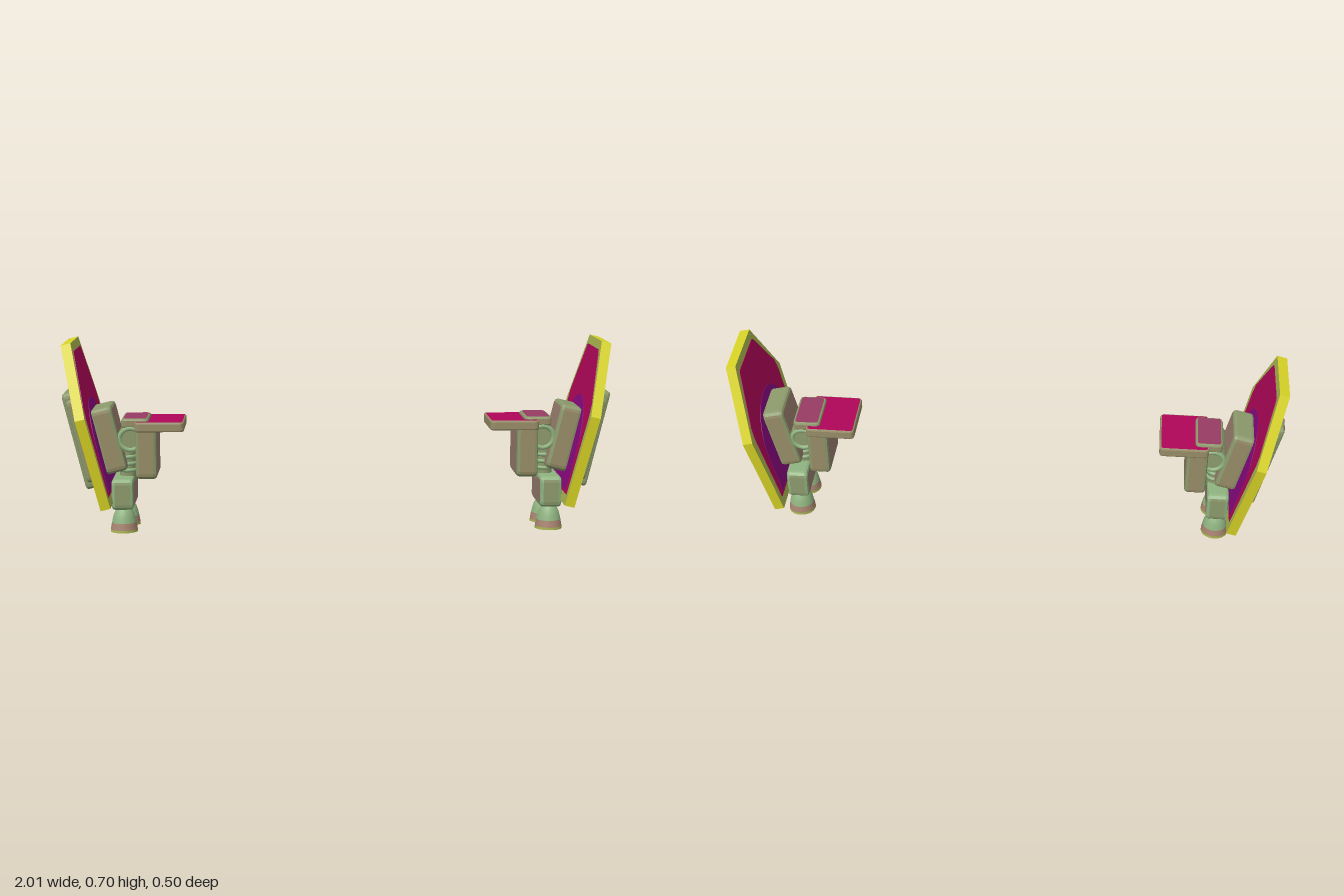
import * as THREE from 'three';

const mat = (name, color, side = THREE.FrontSide) => {
  const m = new THREE.MeshStandardMaterial({ color, side });
  m.name = name;
  return m;
};

export function createModel() {
  const yellow = mat('yellow edge', 0xd8d426);
  const olive = mat('olive rim', 0xaab650);
  const magenta = mat('magenta', 0xb00659);
  const mauve = mat('mauve', 0x963c62);
  const purple = mat('purple', 0x88087e);
  const taupe = mat('taupe', 0x9a7e6e);
  const drab = mat('drab side', 0x968c66);
  const sage = mat('sage edge', 0x8c9a6c);
  const green = mat('green', 0x8fb380, THREE.DoubleSide);
  const clay = mat('clay band', 0xa88470, THREE.DoubleSide);

  const add = (parent, name, geometry, material, x = 0, y = 0, z = 0) => {
    const mesh = new THREE.Mesh(geometry, material);
    mesh.name = name;
    mesh.position.set(x, y, z);
    parent.add(mesh);
    return mesh;
  };

  // Plate in the shield plane: points are [-z, height], thickness runs from x0 to x1
  const plate = (points, x0, x1) => {
    const shape = new THREE.Shape(points.map(([a, b]) => new THREE.Vector2(a, b)));
    return new THREE.ExtrudeGeometry(shape, { depth: x1 - x0, bevelEnabled: false })
      .rotateY(Math.PI / 2).translate(x0, 0, 0);
  };

  // Groups triangles as main faces (0), front and back faces (1) and edges (2)
  const groupFaces = (g, axis) => {
    const p = g.attributes.position, n = g.attributes.normal;
    const sets = [[], [], []];
    for (let i = 0; i < p.count; i += 3) {
      const main = Math.abs(axis === 'x' ? n.getX(i) : n.getY(i));
      const k = main > 0.95 ? 0 : Math.abs(n.getZ(i)) > 0.95 ? 1 : 2;
      sets[k].push(i, i + 1, i + 2);
    }
    g.setIndex(sets.flat());
    g.clearGroups();
    let start = 0;
    sets.forEach((s, k) => {
      g.addGroup(start, s.length, k);
      start += s.length;
    });
    return g;
  };

  // Block with rounded corners and bevelled edges, main faces along the chosen axis
  const block = (w, h, d, axis = 'x', bevel = 0.012) => {
    const [a, b, depth] = axis === 'x' ? [d, h, w] : [w, d, h];
    const p = a / 2 - bevel, q = b / 2 - bevel, r = 0.01;
    const s = new THREE.Shape();
    s.moveTo(-p + r, -q).lineTo(p - r, -q).quadraticCurveTo(p, -q, p, -q + r)
      .lineTo(p, q - r).quadraticCurveTo(p, q, p - r, q)
      .lineTo(-p + r, q).quadraticCurveTo(-p, q, -p, q - r)
      .lineTo(-p, -q + r).quadraticCurveTo(-p, -q, -p + r, -q);
    const g = new THREE.ExtrudeGeometry(s, {
      depth: depth - 2 * bevel, bevelThickness: bevel, bevelSize: bevel,
      bevelSegments: 2, curveSegments: 3,
    }).translate(0, 0, bevel - depth / 2);
    return groupFaces(axis === 'x' ? g.rotateY(Math.PI / 2) : g.rotateX(-Math.PI / 2), axis);
  };

  const lathe = (pts) => new THREE.LatheGeometry(pts.map(([r, y]) => new THREE.Vector2(r, y)), 28);

  const outline = [[-0.21, 0], [0.21, 0], [0.252, 0.342], [0.137, 0.604], [-0.1, 0.604], [-0.252, 0.342]];
  const panel = [[-0.188, 0.038], [0.188, 0.038], [0.218, 0.34], [0.212, 0.385],
    [0.125, 0.564], [0.115, 0.571], [-0.085, 0.571], [-0.096, 0.562], [-0.212, 0.385], [-0.218, 0.34]];
  const field = [[-0.15, 0.072], [0.155, 0.072], [0.172, 0.1], [0.188, 0.2], [0.208, 0.225], ...panel.slice(2),
    [-0.208, 0.225], [-0.188, 0.2], [-0.172, 0.1]];
  const topStrip = [[-0.102, 0.591], [0.139, 0.591], [0.136, 0.603], [-0.099, 0.603]];

  // Domed purple area on the lower inner face
  const dome = [[-0.165, 0.05], [0.165, 0.05]];
  for (let i = 0; i <= 16; i++) {
    const t = (i / 16) * Math.PI;
    dome.push([0.168 * Math.cos(t), 0.22 + 0.168 * Math.sin(t)]);
  }

  const buildUnit = (name) => {
    const unit = new THREE.Group();
    unit.name = name;

    // Leaning shield with inset colour fields on both faces
    const shield = new THREE.Group();
    shield.name = 'shield';
    shield.position.set(0.857, 0.105, 0);
    shield.rotation.z = -0.236;
    unit.add(shield);
    add(shield, 'shieldPlate', plate(outline, -0.036, 0), [olive, yellow]);
    add(shield, 'topStrip', plate(topStrip, 0, 0.001), yellow);
    add(shield, 'outerPanel', plate(panel, 0, 0.0015), mauve);
    add(shield, 'outerField', plate(field, 0.0015, 0.003), magenta);
    const spot = new THREE.CircleGeometry(0.02, 20).scale(0.8, 1.3, 1).rotateY(Math.PI / 2);
    add(shield, 'outerSpot', spot, purple, 0.004, 0.112, 0.118);
    add(shield, 'innerPanel', plate(panel, -0.038, -0.036), magenta);
    add(shield, 'innerDome', plate(dome, -0.04, -0.038), purple);

    // Long pack outside, narrower stepped core with trim lines; mount block inside
    add(shield, 'outerPack', block(0.038, 0.315, 0.212), [taupe, drab, sage], 0.019, 0.248, 0);
    add(shield, 'outerPackCore', block(0.048, 0.362, 0.19, 'x', 0.009), [taupe, sage, sage], 0.024, 0.248, 0);
    for (const s of [-0.17, 0.17]) {
      add(shield, 'packTrim', new THREE.BoxGeometry(0.003, 0.004, 0.14), magenta, 0.0475, 0.248 + s, 0);
    }
    add(shield, 'mountBlock', block(0.08, 0.245, 0.18), [taupe, drab, sage], -0.075, 0.224, 0);

    // Joint between the mount and the arm body
    const hub = new THREE.CylinderGeometry(0.05, 0.05, 0.16, 28).rotateX(Math.PI / 2);
    add(unit, 'jointHub', hub, sage, 0.757, 0.345, 0);
    for (const z of [-0.078, 0.078]) {
      add(unit, 'jointRing', new THREE.TorusGeometry(0.04, 0.009, 8, 28), green, 0.757, 0.345, z);
    }
    add(unit, 'neck', new THREE.CylinderGeometry(0.03, 0.03, 0.16, 20), sage, 0.775, 0.255, 0);
    for (let i = 0; i < 3; i++) {
      const ring = new THREE.TorusGeometry(0.03, 0.007, 8, 20).rotateX(Math.PI / 2);
      add(unit, 'neckRing', ring, green, 0.775, 0.22 + i * 0.025, 0);
    }

    // Arm body, cap and flat grip plate
    add(unit, 'armBody', block(0.078, 0.2, 0.195), [taupe, drab, sage], 0.7, 0.297, 0);
    add(unit, 'jointCap', block(0.1, 0.036, 0.17, 'y', 0.008), [mauve, drab, sage], 0.74, 0.403, 0);
    add(unit, 'gripPlate', block(0.18, 0.036, 0.214, 'y', 0.006), [magenta, drab, drab], 0.65, 0.392, 0);

    // Lower housing with a pair of bell nozzles
    add(unit, 'lowerHousing', block(0.08, 0.115, 0.22), [taupe, sage, green], 0.788, 0.142, 0);
    add(unit, 'housingTrim', new THREE.BoxGeometry(0.006, 0.005, 0.14), magenta, 0.824, 0.089, 0);
    for (const z of [-0.062, 0.062]) {
      const nozzle = new THREE.Group();
      nozzle.name = 'nozzle';
      nozzle.position.set(0.787, 0, z);
      unit.add(nozzle);
      const rim = new THREE.RingGeometry(0.043, 0.05, 28).rotateX(Math.PI / 2);
      add(nozzle, 'nozzleRim', rim, clay);
      add(nozzle, 'nozzleLip', lathe([[0.05, 0], [0.0495, 0.009]]), olive);
      add(nozzle, 'nozzleBand', lathe([[0.0495, 0.009], [0.045, 0.034]]), clay);
      add(nozzle, 'nozzleBell', lathe([[0.045, 0.034], [0.041, 0.052], [0.036, 0.068], [0.029, 0.08], [0.022, 0.09]]), green);
      add(nozzle, 'nozzleInside', lathe([[0, 0.045], [0.026, 0.042], [0.038, 0.025], [0.044, 0]]), purple);
    }
    return unit;
  };

  // Mirrored pair
  const model = new THREE.Group();
  model.name = 'shieldPair';
  const left = buildUnit('leftShieldUnit');
  const right = buildUnit('rightShieldUnit');
  right.scale.x = -1;
  model.add(left, right);
  return model;
}
